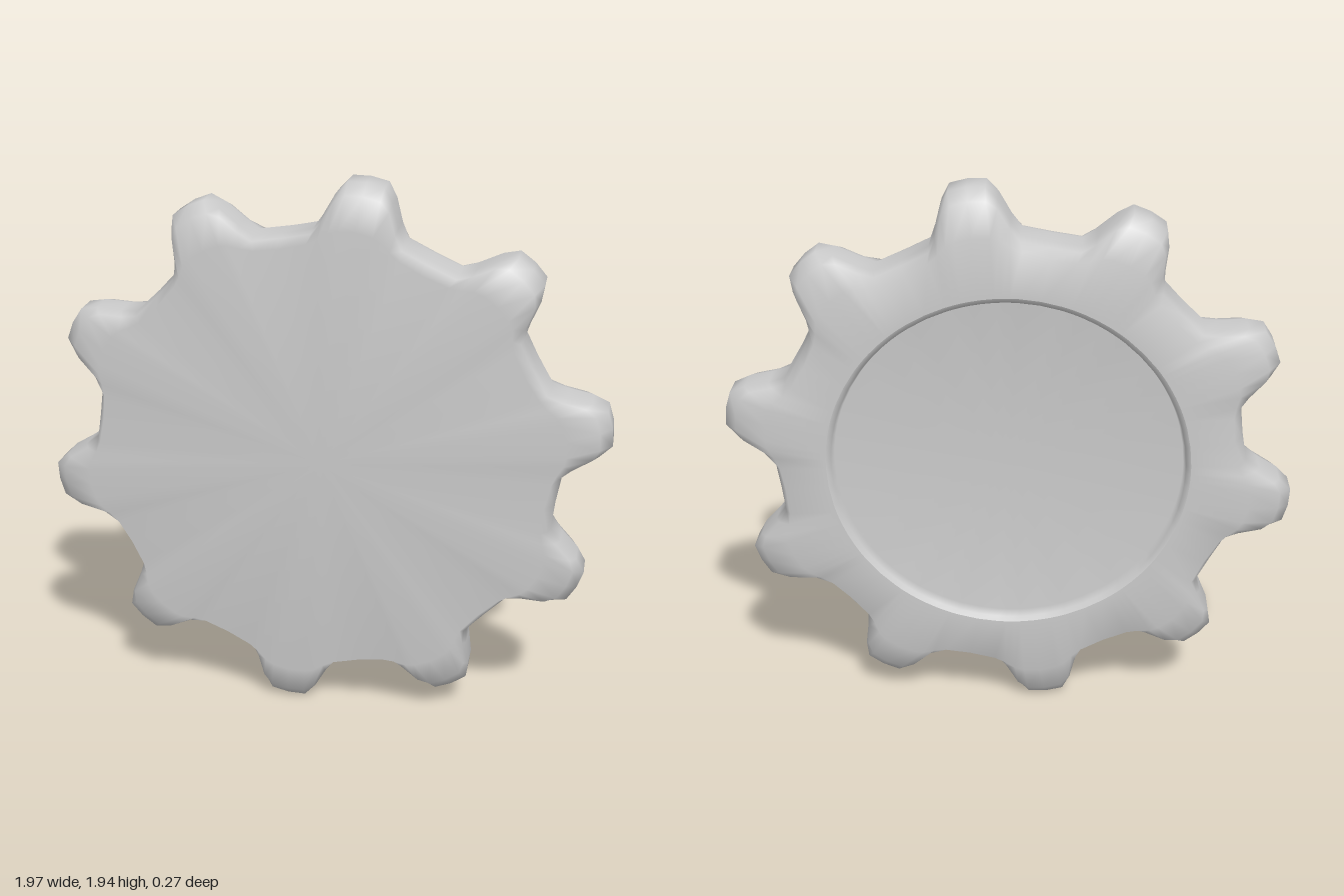
import * as THREE from 'three';

const TEETH = 10;
const PHASE = 10; // degrees, direction of the first tooth

// Half a tooth, valley to crown: angle on the face and on the flank,
// then radius at the face edge, the shoulder and the mid plane
const HALF_TOOTH = [
  [18, 18, 0.775, 0.8, 0.808],
  [11.4, 10.8, 0.785, 0.808, 0.818],
  [8.6, 8.4, 0.802, 0.848, 0.865],
  [6.2, 5.8, 0.825, 0.918, 0.94],
  [4, 3.6, 0.835, 0.945, 0.985],
  [0, 0, 0.84, 0.95, 0.99],
];

// Full tooth: mirror the half, leaving out the shared valley point at the end
const TOOTH = [
  ...HALF_TOOTH.map(([a, b, ...r]) => [-a, -b, ...r]),
  ...HALF_TOOTH.slice(1, -1).reverse(),
];
const COUNT = TEETH * TOOTH.length;

// One closed loop of points at depth z; pick(toothPoint) returns [degrees, radius]
function loop(z, pick) {
  const points = [];
  for (let t = 0; t < TEETH; t++) {
    for (const p of TOOTH) {
      const [deg, r] = pick(p);
      const a = THREE.MathUtils.degToRad(PHASE + (360 / TEETH) * t + deg);
      points.push([r * Math.cos(a) * 1.008, r * Math.sin(a) * 0.988, z]);
    }
  }
  return points;
}

// Skin a series of loops, optionally closing the first or last with a flat cap
function skin(loops, capFirst, capLast) {
  const pos = loops.flat(2);
  const index = [];
  const last = loops.length - 1;
  const cap = (row, flip) => {
    const centre = pos.length / 3;
    pos.push(0, 0, loops[row][0][2]);
    for (let j = 0; j < COUNT; j++) {
      const a = row * COUNT + j, b = row * COUNT + ((j + 1) % COUNT);
      index.push(centre, flip ? b : a, flip ? a : b);
    }
  };
  for (let i = 0; i < last; i++) {
    for (let j = 0; j < COUNT; j++) {
      const k = (j + 1) % COUNT;
      const a = i * COUNT + j, b = i * COUNT + k;
      const c = a + COUNT, d = b + COUNT;
      index.push(a, c, b, b, c, d);
    }
  }
  if (capFirst) cap(0, false);
  if (capLast) cap(last, true);
  const geo = new THREE.BufferGeometry();
  geo.setAttribute('position', new THREE.Float32BufferAttribute(pos, 3));
  geo.setIndex(index);
  geo.computeVertexNormals();
  return geo;
}

export function createModel() {
  const group = new THREE.Group();
  group.name = 'gear';
  const material = new THREE.MeshStandardMaterial({ color: 0xcccccc });

  const face = (p) => [p[0], p[2]];
  const shoulder = (p) => [p[1], p[3]];
  const flank = (p) => [p[1], p[4]];
  const circle = (r) => (p) => [p[0], r];

  // Toothed wheel: flat front, bevelled teeth, flat ring at the back
  const wheel = new THREE.Mesh(skin([
    loop(0.137, face),
    loop(0.09, shoulder),
    loop(0.05, flank),
    loop(-0.05, flank),
    loop(-0.09, shoulder),
    loop(-0.137, face),
    loop(-0.137, circle(0.625)),
  ], true, false), material);
  wheel.name = 'toothedWheel';

  // Shallow round recess in the back
  const recess = new THREE.Mesh(skin([
    loop(-0.137, circle(0.625)),
    loop(-0.128, circle(0.608)),
    loop(-0.09, circle(0.6)),
  ], false, true), material);
  recess.name = 'backRecess';

  group.add(wheel, recess);
  group.position.y = 0.98;

  const root = new THREE.Group();
  root.name = 'gearModel';
  root.add(group);
  return root;
}
